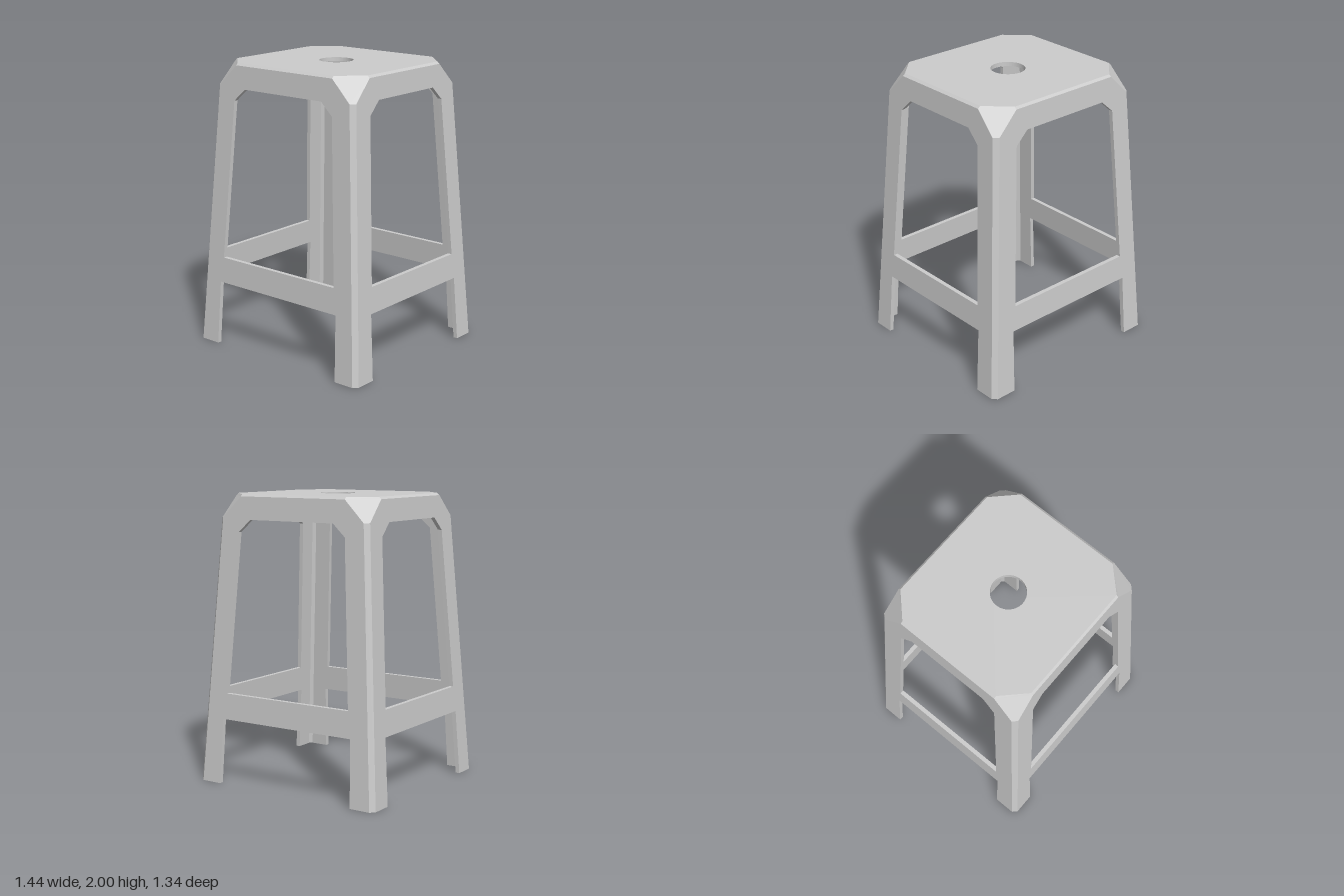
import * as THREE from 'three';
import { ConvexGeometry } from 'three/addons/geometries/ConvexGeometry.js';

const T = 0.03;        // wall thickness
const CUT = 0.03;      // outer corner chamfer
const INNER = 0.05;    // inner corner chamfer
const SHOULDER = 1.84; // where the corner gussets begin
const RIM = 1.985;     // top of the walls, below the seat bevel

// Outer half sizes of the tapering body at height y
const halfX = (y) => 0.72 - 0.066 * y;
const halfZ = (y) => 0.668 - 0.061 * y;

export function createModel() {
  const model = new THREE.Group();
  const material = new THREE.MeshStandardMaterial({ color: 0xcccccc, flatShading: true, side: THREE.DoubleSide });
  const add = (name, geometry) => {
    const mesh = new THREE.Mesh(geometry, material);
    mesh.name = name;
    model.add(mesh);
    return mesh;
  };
  const mirrored = (half) => [...half, ...half.map(([u, y]) => [-u, y]).reverse()].map(([u, y]) => new THREE.Vector2(u, y));

  // Leaning wall: two legs, a rail and the seat apron in one sheet
  function wall(name, width, reach, d, angle) {
    const shape = new THREE.Shape(mirrored([
      [d.foot[1], 0.455], [d.foot[0], 0], [width(0) - CUT, 0],
      [width(SHOULDER) - CUT, SHOULDER], [d.top, RIM],
    ]));
    shape.holes.push(new THREE.Path(mirrored(d.opening)));
    const geometry = new THREE.ExtrudeGeometry(shape, { depth: T, bevelEnabled: false });
    const p = geometry.attributes.position;
    for (let i = 0; i < p.count; i++) p.setZ(i, p.getZ(i) - T + reach(p.getY(i)));
    geometry.computeVertexNormals();
    add(name, geometry).rotation.y = angle;
  }
  const front = { foot: [0.54, 0.525], top: 0.42, opening: [[0.5, 0.635], [0.43, 1.745], [0.335, 1.83]] };
  const side = { foot: [0.49, 0.475], top: 0.38, opening: [[0.455, 0.635], [0.39, 1.745], [0.295, 1.835]] };
  wall('frontWall', halfX, halfZ, front, 0);
  wall('backWall', halfX, halfZ, front, Math.PI);
  wall('leftWall', halfZ, halfX, side, Math.PI / 2);
  wall('rightWall', halfZ, halfX, side, -Math.PI / 2);

  // Chamfered corner posts and the gussets above them
  const section = (y) => {
    const x = halfX(y), z = halfZ(y);
    return [[x - CUT, y, z], [x, y, z - CUT], [x - T, y, z - INNER], [x - INNER, y, z - T]];
  };
  const gussetTop = [
    [front.top, RIM, halfZ(RIM)], [halfX(RIM), RIM, side.top],
    [front.top, RIM - T, halfZ(RIM) - T], [halfX(RIM) - T, RIM - T, side.top],
  ];
  for (const sx of [1, -1]) {
    for (const sz of [1, -1]) {
      const hull = (points) => new ConvexGeometry(points.map(([x, y, z]) => new THREE.Vector3(sx * x, y, sz * z)));
      const place = (sz > 0 ? 'front' : 'back') + (sx > 0 ? 'Left' : 'Right');
      add(place + 'CornerPost', hull([...section(0), ...section(SHOULDER)]));
      add(place + 'CornerGusset', hull([...section(SHOULDER), ...gussetTop]));
    }
  }

  // Eight-sided seat with a round hole
  const octagon = (x, z) => [
    [front.top, z], [x, side.top], [x, -side.top], [front.top, -z],
    [-front.top, -z], [-x, -side.top], [-x, side.top], [-front.top, z],
  ];
  const seatShape = new THREE.Shape(octagon(0.572, 0.532).map(([x, z]) => new THREE.Vector2(x, z)));
  seatShape.holes.push(new THREE.Path().absarc(0, 0, 0.117, 0, Math.PI * 2, true));
  const seat = new THREE.ExtrudeGeometry(seatShape, { depth: T, bevelEnabled: false, curveSegments: 32 });
  seat.rotateX(-Math.PI / 2);
  seat.translate(0, 2 - T, 0);
  add('seat', seat);

  // Narrow bevel joining the seat to the walls
  const upper = octagon(0.572, 0.532), lower = octagon(halfX(RIM), halfZ(RIM));
  const bevel = [];
  for (let i = 0; i < 8; i++) {
    const j = (i + 1) % 8;
    const at = ([x, z], y) => [x, y, z];
    const a = at(lower[i], RIM), b = at(lower[j], RIM), c = at(upper[j], 2), d = at(upper[i], 2);
    bevel.push(...a, ...b, ...c, ...a, ...c, ...d);
  }
  const bevelGeometry = new THREE.BufferGeometry();
  bevelGeometry.setAttribute('position', new THREE.Float32BufferAttribute(bevel, 3));
  bevelGeometry.computeVertexNormals();
  add('seatBevel', bevelGeometry);

  return model;
}
